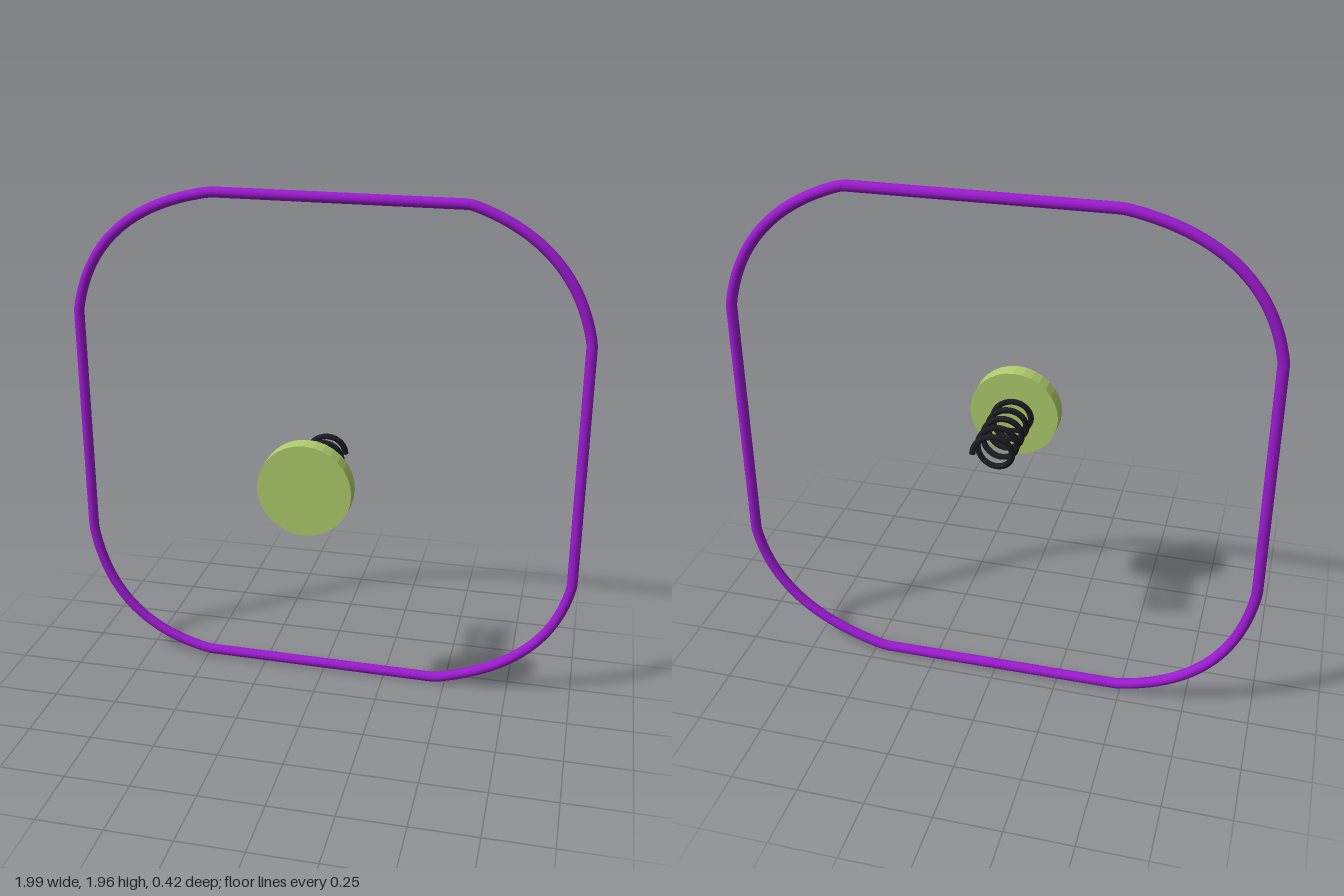
import * as THREE from 'three';

const CX = 0.013, CY = 0.97; // shared axis of disc and spring

// Coil running backwards along z
class Coil extends THREE.Curve {
  getPoint(t, target = new THREE.Vector3()) {
    const turns = 5, radius = 0.07;
    const a = -t * turns * Math.PI * 2;
    return target.set(CX + radius * Math.cos(a), CY + radius * Math.sin(a), 0.17 - 0.35 * t);
  }
}

// Corners of the loop, clockwise: start, control point, end
const CORNERS = [
  [[-0.975, 1.47], [-0.90, 1.87], [-0.43, 1.945]],
  [[0.52, 1.94], [0.90, 1.82], [0.972, 1.46]],
  [[0.975, 0.50], [0.91, 0.13], [0.46, 0.022]],
  [[-0.49, 0.03], [-0.915, 0.11], [-0.977, 0.55]],
];

function loopPath(z) {
  const path = new THREE.CurvePath();
  const point = ([x, y]) => new THREE.Vector3(x, y, z);
  CORNERS.forEach((corner, i) => {
    const [a, c, b] = corner.map(point);
    path.add(new THREE.QuadraticBezierCurve3(a, c, b));
    path.add(new THREE.LineCurve3(b, point(CORNERS[(i + 1) % CORNERS.length][0])));
  });
  return path;
}

export function createModel() {
  const model = new THREE.Group();
  const add = (name, geometry, color, options = {}) => {
    const mesh = new THREE.Mesh(geometry, new THREE.MeshStandardMaterial({ color, ...options }));
    mesh.name = name;
    model.add(mesh);
    return mesh;
  };

  // Rounded square hoop at the back
  add('hoop', new THREE.TubeGeometry(loopPath(-0.187), 240, 0.02, 12, true), 0x9c1ad0);

  // Spring between hoop plane and disc
  add('spring', new THREE.TubeGeometry(new Coil(), 200, 0.0115, 8, false), 0x1c1c22, { side: THREE.DoubleSide });

  // Flat disc facing forward
  const disc = add('disc', new THREE.CylinderGeometry(0.173, 0.173, 0.068, 32), 0xb0cc6c, { flatShading: true });
  disc.rotation.x = Math.PI / 2;
  disc.position.set(CX, CY, 0.181);

  return model;
}
